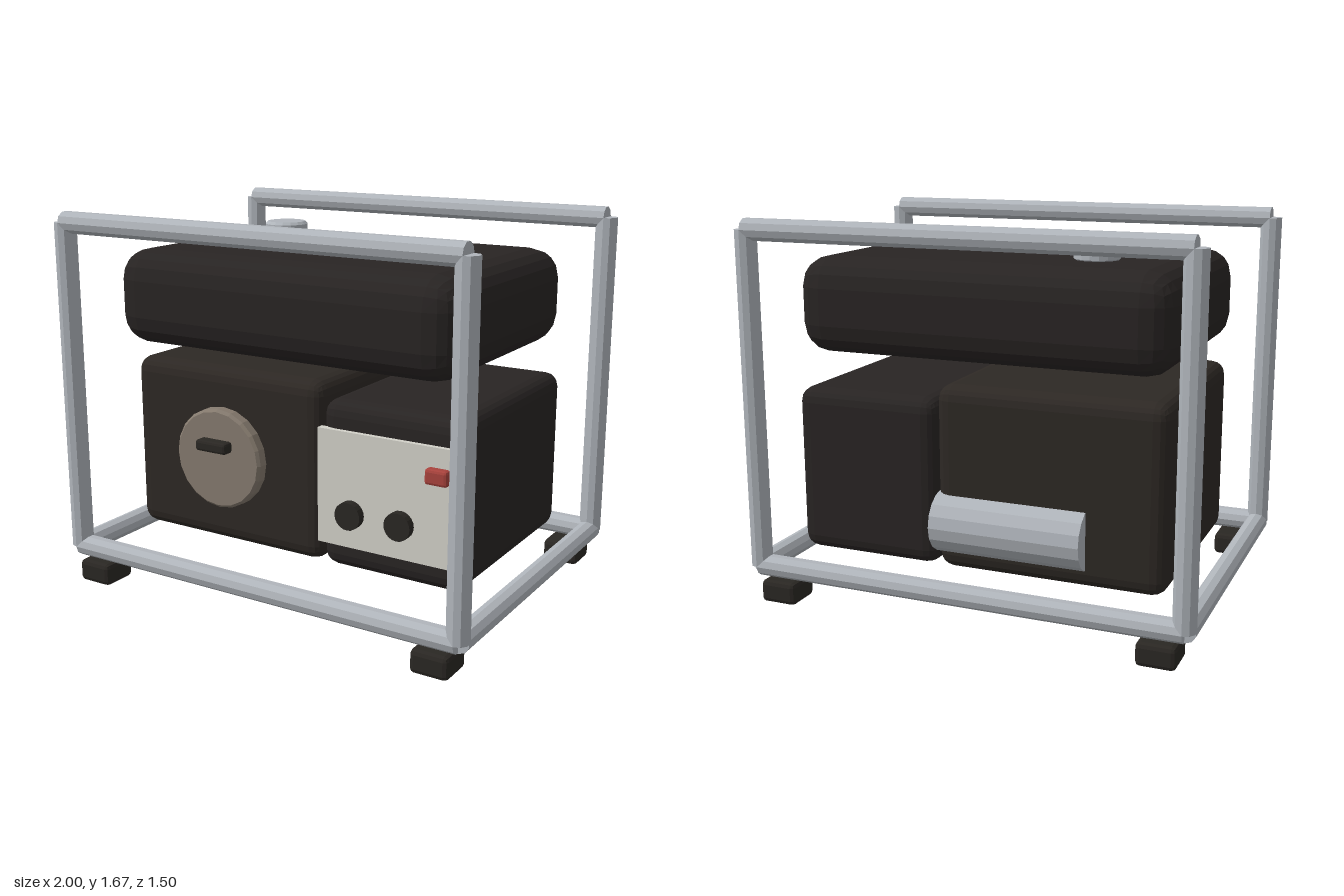
import * as THREE from 'three';
import { RoundedBoxGeometry } from 'three/addons/geometries/RoundedBoxGeometry.js';

const mat = (color) => new THREE.MeshStandardMaterial({ color, flatShading: true });
const steel = mat(0xb0b5bb);
const black = mat(0x282423);
const engineBlack = mat(0x2d2824);
const rubber = mat(0x2a2723);
const taupe = mat(0x857a6e);
const cream = mat(0xd2d0c8);
const red = mat(0xa8423c);

export function createModel() {
  const model = new THREE.Group();

  const add = (name, geometry, material, x, y, z, parent = model) => {
    const mesh = new THREE.Mesh(geometry, material);
    mesh.name = name;
    mesh.position.set(x, y, z);
    parent.add(mesh);
    return mesh;
  };

  // Rounded box given by its min and max corners
  const block = (name, min, max, radius, segments, material, parent) => {
    const size = max.map((v, i) => v - min[i]);
    const mid = max.map((v, i) => (v + min[i]) / 2);
    return add(name, new RoundedBoxGeometry(...size, segments, radius), material, ...mid, parent);
  };

  // Cylinder lying along the given axis
  const rod = (name, axis, radius, length, sides, material, x, y, z, parent) => {
    const geometry = new THREE.CylinderGeometry(radius, radius, length, sides);
    if (axis === 'x') geometry.rotateZ(Math.PI / 2);
    if (axis === 'z') geometry.rotateX(Math.PI / 2);
    return add(name, geometry, material, x, y, z, parent);
  };

  // Disc with a bevelled rim, its axis along y
  const bevelDisc = (radius, height, bevel, sides) => {
    const h = height / 2;
    const profile = [[0, -h], [radius - bevel, -h], [radius, -h + bevel],
      [radius, h - bevel], [radius - bevel, h], [0, h]];
    return new THREE.LatheGeometry(profile.map((p) => new THREE.Vector2(...p)), sides);
  };

  // Tubular frame: base rectangle, four posts, two top rails
  const frame = new THREE.Group();
  frame.name = 'frame';
  model.add(frame);
  const tube = 0.048, px = 0.952, pz = 0.7, baseY = 0.156, topY = 1.622;
  for (const s of [-1, 1]) {
    rod('baseLongRail', 'x', tube, px * 2, 10, steel, 0, baseY, s * pz, frame);
    rod('topRail', 'x', tube, px * 2, 10, steel, 0, topY, s * pz, frame);
    rod('baseCrossRail', 'z', tube, pz * 2, 10, steel, s * px, baseY, 0, frame);
    for (const t of [-1, 1]) {
      rod('post', 'y', tube, topY - baseY, 10, steel, s * px, (topY + baseY) / 2, t * pz, frame);
      add('foot', new RoundedBoxGeometry(0.166, 0.1, 0.166, 1, 0.02), rubber, s * 0.85, 0.05, t * 0.667);
    }
  }

  // Fuel tank and filler cap
  block('fuelTank', [-0.83, 1.08, -0.565], [0.83, 1.5, 0.565], 0.13, 2, black);
  add('fuelCap', bevelDisc(0.098, 0.085, 0.012, 16), steel, -0.403, 1.535, -0.173);

  // Engine and alternator housings
  block('engine', [-0.833, 0.205, -0.565], [0.167, 1.0, 0.432], 0.065, 2, engineBlack);
  block('alternator', [0.167, 0.205, -0.565], [0.83, 0.935, 0.432], 0.065, 2, black);

  // Recoil starter with its pull handle
  const recoil = bevelDisc(0.225, 0.07, 0.012, 20).rotateX(Math.PI / 2);
  add('recoilStarter', recoil, taupe, -0.336, 0.605, 0.45);
  block('pullHandle', [-0.417, 0.645, 0.47], [-0.257, 0.695, 0.535], 0.012, 1, rubber);

  // Control panel with outlets and switch
  add('controlPanel', new THREE.BoxGeometry(0.663, 0.5, 0.035), cream, 0.498, 0.57, 0.437);
  for (const x of [0.332, 0.565]) {
    rod('outlet', 'z', 0.06, 0.045, 20, rubber, x, 0.47, 0.469);
  }
  block('powerSwitch', [0.683, 0.672, 0.44], [0.783, 0.738, 0.49], 0.012, 1, red);

  // Exhaust muffler half sunk into the back of the housings
  rod('muffler', 'x', 0.132, 0.66, 16, steel, -0.17, 0.41, -0.523);

  return model;
}
